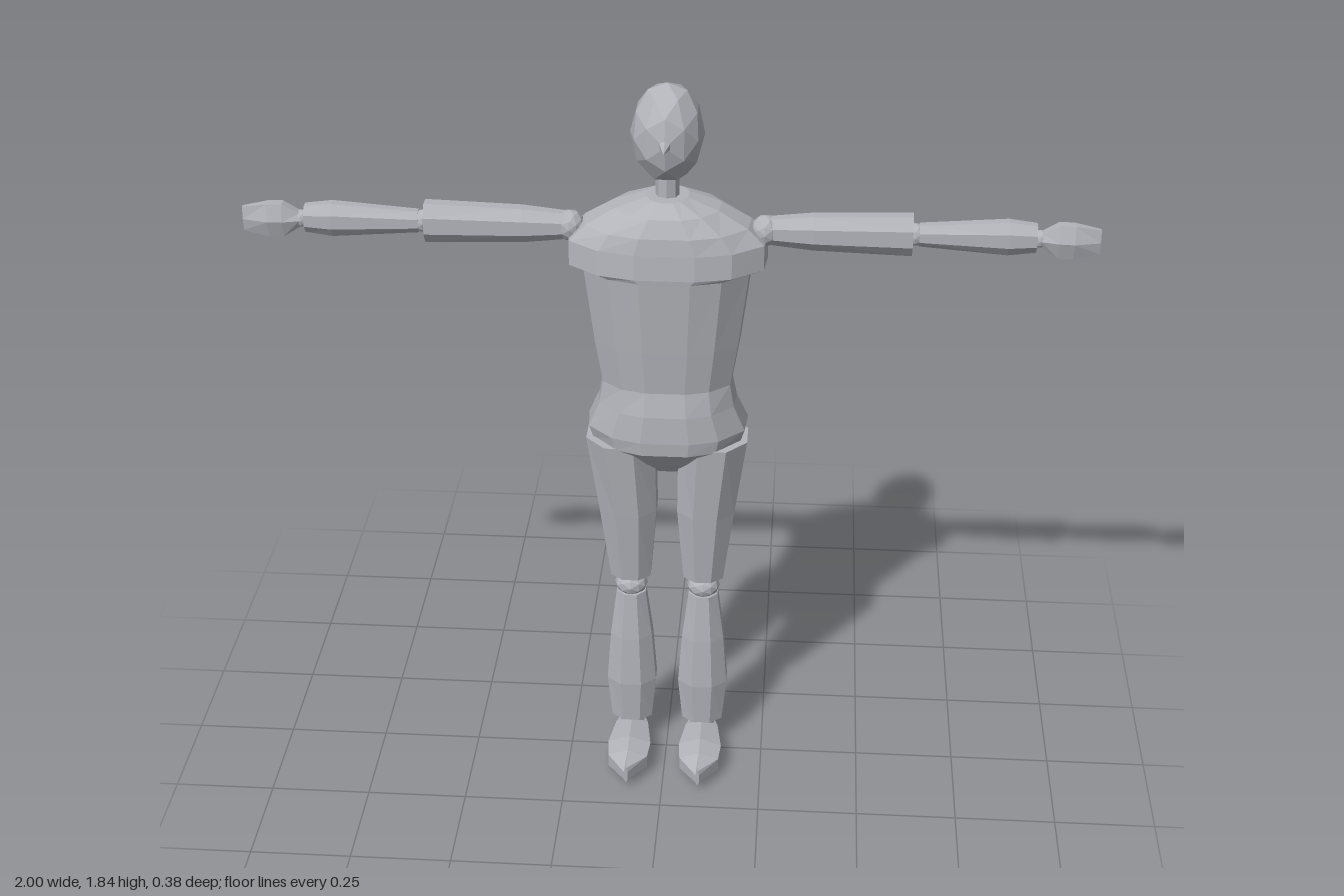
import * as THREE from 'three';

const grey = new THREE.MeshStandardMaterial({ color: 0xb2b4ba, flatShading: true });
grey.name = 'mannequinGrey';

// Axis layouts: maps (along, u, v) to x, y, z
const AXES = {
  x: (t, u, v) => [t, u, v],
  y: (t, u, v) => [u, t, v],
  z: (t, u, v) => [u, v, t],
};

// Skin rings of equal length and cap both ends; faces always point outward
function loft(rings) {
  const pos = [], n = rings[0].length;
  const tri = (a, b, c) => pos.push(...a, ...b, ...c);
  for (let i = 0; i < rings.length - 1; i++) {
    for (let j = 0; j < n; j++) {
      const k = (j + 1) % n;
      const a = rings[i][j], b = rings[i][k], c = rings[i + 1][k], d = rings[i + 1][j];
      tri(a, b, c);
      tri(a, c, d);
    }
  }
  const first = rings[0], last = rings[rings.length - 1];
  for (let j = 1; j < n - 1; j++) {
    tri(first[0], first[j + 1], first[j]);
    tri(last[0], last[j], last[j + 1]);
  }
  let volume = 0;
  const a = new THREE.Vector3(), b = new THREE.Vector3(), c = new THREE.Vector3();
  for (let i = 0; i < pos.length; i += 9) {
    a.fromArray(pos, i); b.fromArray(pos, i + 3); c.fromArray(pos, i + 6);
    volume += a.dot(b.cross(c));
  }
  if (volume < 0) {
    for (let i = 0; i < pos.length; i += 9) {
      for (let k = 0; k < 3; k++) [pos[i + 3 + k], pos[i + 6 + k]] = [pos[i + 6 + k], pos[i + 3 + k]];
    }
  }
  const g = new THREE.BufferGeometry();
  g.setAttribute('position', new THREE.Float32BufferAttribute(pos, 3));
  g.computeVertexNormals();
  return g;
}

// Faceted limb; each section is [along, centreU, centreV, halfU, halfV]
function limb(axis, sections, sides = 8) {
  const k = 1 / Math.cos(Math.PI / sides);
  return loft(sections.map(([t, cu, cv, ru, rv]) =>
    Array.from({ length: sides }, (_, j) => {
      const a = ((j + 0.5) / sides) * Math.PI * 2;
      return AXES[axis](t, cu + Math.cos(a) * ru * k, cv + Math.sin(a) * rv * k);
    })));
}

// Faceted ball used for the head and joints
function ball(x, y, z, rx, ry, rz) {
  return new THREE.IcosahedronGeometry(1, 1).scale(rx, ry, rz).translate(x, y, z);
}

export function createModel() {
  const model = new THREE.Group();
  model.name = 'jointedFigure';
  const add = (name, geometry, parent = model) => {
    const mesh = new THREE.Mesh(geometry, grey);
    mesh.name = name;
    parent.add(mesh);
  };
  const Z = -0.04;

  // Head, nose and neck
  add('head', ball(0, 1.718, Z, 0.086, 0.119, 0.1));
  add('nose', new THREE.ConeGeometry(0.015, 0.05, 6).rotateX(Math.PI / 2).translate(0, 1.72, 0.077));
  add('neck', new THREE.CylinderGeometry(0.028, 0.028, 0.1, 8).translate(0, 1.575, Z));

  // Torso: one outline from front to back, scaled per height
  const half = [[0.3, 1], [0.66, 0.82], [0.97, 0.35], [1, -0.25], [0.78, -0.68], [0.45, -0.88]];
  const outline = [...half, [0, -1], ...half.slice().reverse().map(([x, z]) => [-x, z])];
  const torso = [ // y, half width, front z, back z
    [0.825, 0.065, -0.03, -0.14],
    [0.87, 0.12, 0.02, -0.172],
    [0.925, 0.185, 0.07, -0.187],
    [0.96, 0.196, 0.073, -0.18],
    [1.03, 0.168, 0.07, -0.148],
    [1.09, 0.158, 0.058, -0.118],
    [1.2, 0.176, 0.068, -0.128],
    [1.39, 0.2, 0.084, -0.146],
    [1.4, 0.235, 0.085, -0.148],
    [1.46, 0.235, 0.08, -0.15],
    [1.5, 0.195, 0.075, -0.148],
    [1.54, 0.125, 0.055, -0.135],
    [1.565, 0.05, 0.015, -0.1],
  ];
  add('torso', loft(torso.map(([y, w, f, b]) =>
    outline.map(([x, z]) => [x * w, y, (f + b) / 2 + z * (f - b) / 2]))));

  for (const s of [1, -1]) {
    const side = s > 0 ? 'left' : 'right';
    const Y = 1.48;

    // Arm stretched sideways
    const arm = new THREE.Group();
    arm.name = side + 'Arm';
    model.add(arm);
    add('shoulderJoint', ball(s * 0.228, Y, Z, 0.034, 0.038, 0.036), arm);
    add('upperArm', limb('x', [
      [s * 0.24, Y, Z, 0.032, 0.027], [s * 0.34, Y, Z, 0.042, 0.034],
      [s * 0.57, Y, Z, 0.049, 0.035],
    ]), arm);
    add('elbowJoint', ball(s * 0.575, Y, Z, 0.026, 0.028, 0.026), arm);
    add('forearm', limb('x', [
      [s * 0.585, Y, Z, 0.026, 0.023], [s * 0.79, Y, Z, 0.041, 0.029],
      [s * 0.855, Y, Z, 0.033, 0.025],
    ]), arm);
    add('wristJoint', ball(s * 0.862, Y, Z + 0.005, 0.02, 0.022, 0.02), arm);
    add('hand', limb('x', [
      [s * 0.865, Y, -0.033, 0.017, 0.015], [s * 0.905, Y, -0.03, 0.041, 0.021],
      [s * 0.94, Y, -0.028, 0.041, 0.021], [s, Y, -0.028, 0.03, 0.008],
    ], 6), arm);

    // Leg, widening slightly outward at the hip
    const leg = new THREE.Group();
    leg.name = side + 'Leg';
    model.add(leg);
    const X = s * 0.092;
    add('thigh', limb('y', [
      [0.52, X, Z, 0.05, 0.043], [0.72, s * 0.097, Z, 0.071, 0.066],
      [0.93, s * 0.113, Z, 0.084, 0.09],
    ]), leg);
    add('kneeJoint', ball(X, 0.49, Z, 0.042, 0.034, 0.04), leg);
    add('shin', limb('y', [
      [0.08, X, Z, 0.052, 0.04], [0.2, X, -0.043, 0.063, 0.053],
      [0.34, X, -0.041, 0.053, 0.048], [0.47, X, Z, 0.037, 0.036],
    ]), leg);
    add('ankleJoint', ball(X, 0.068, Z, 0.036, 0.025, 0.03), leg);
    add('foot', limb('z', [
      [-0.06, X, 0.043, 0.03, 0.019], [-0.02, X, 0.041, 0.042, 0.028],
      [0.07, X, 0.04, 0.055, 0.034], [0.125, X, 0.041, 0.05, 0.029],
      [0.188, X, 0.042, 0.005, 0.02],
    ], 6), leg);
  }
  return model;
}
